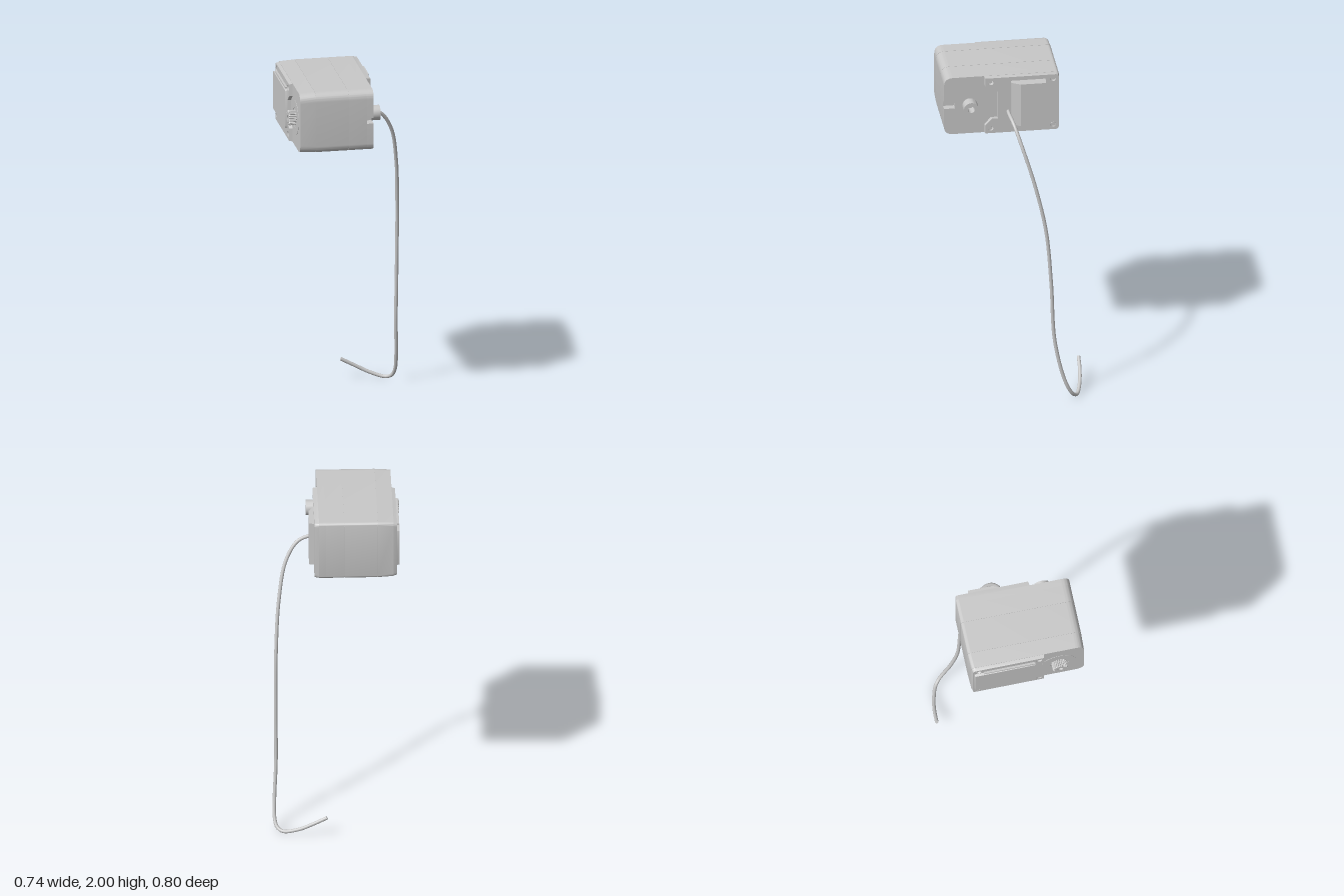
import * as THREE from 'three';
import { toCreasedNormals } from 'three/addons/utils/BufferGeometryUtils.js';

const grey = new THREE.MeshStandardMaterial({ color: 0xc8c8c8 });
grey.name = 'light plastic grey';

// Closed outline from [z, y] pairs; corners may carry a rounding radius as third value
function outline(pts, Type = THREE.Shape) {
  const s = new Type();
  const v = pts.map(p => new THREE.Vector2(-p[0], p[1]));
  const n = v.length;
  v.forEach((c, i) => {
    const r = pts[i][2] || 0;
    const a = c.clone().add(v[(i + n - 1) % n].clone().sub(c).setLength(r));
    const b = c.clone().add(v[(i + 1) % n].clone().sub(c).setLength(r));
    if (i === 0) s.moveTo(a.x, a.y); else s.lineTo(a.x, a.y);
    if (r) s.quadraticCurveTo(c.x, c.y, b.x, b.y);
  });
  s.closePath();
  return s;
}
const rect = (z0, z1, y0, y1, r = 0, Type) =>
  outline([[z0, y0, r], [z0, y1, r], [z1, y1, r], [z1, y0, r]], Type);
function circle(z, y, r, Type = THREE.Shape) {
  const s = new Type();
  s.absarc(-z, y, r, 0, Math.PI * 2, false);
  return s;
}

export function createModel() {
  const group = new THREE.Group();
  const add = (name, geo) => {
    const m = new THREE.Mesh(geo, grey);
    m.name = name;
    group.add(m);
    return m;
  };

  // Slab across x; end = +1 or -1 tapers that side by ky and kz around the slab's middle
  function slab(name, shape, x0, x1, end = 0, ky = 1, kz = ky) {
    const g = new THREE.ExtrudeGeometry(shape, { depth: x1 - x0, bevelEnabled: false, curveSegments: 14 });
    g.rotateY(Math.PI / 2).translate(x0, 0, 0);
    g.computeBoundingBox();
    const c = g.boundingBox.getCenter(new THREE.Vector3());
    const p = g.attributes.position;
    if (end) for (let i = 0; i < p.count; i++) {
      if ((p.getX(i) - c.x) * end < 0) continue;
      p.setY(i, c.y + (p.getY(i) - c.y) * ky);
      p.setZ(i, c.z + (p.getZ(i) - c.z) * kz);
    }
    return add(name, toCreasedNormals(g, 0.55));
  }

  // Case: three shells separated by fine seams over a slightly smaller core
  const caseOutline = (d = 0) => outline([
    [0.398 - d, 1.637 + d, 0.052], [0.398 - d, 2 - d, 0.052],
    [-0.271 + d, 2 - d, 0.02], [-0.271 + d, 1.637 + d, 0.02]]);
  slab('caseCore', caseOutline(0.002), -0.25, -0.03);
  slab('leftShell', caseOutline(), -0.33, -0.239, -1, 0.975, 0.99);
  slab('middleShell', caseOutline(), -0.237, -0.046);
  slab('rightShell', caseOutline(), -0.044, 0.06);

  // Outer slice of the shell carries the locating notch
  slab('notchedFace', outline([
    [0.398, 1.637, 0.052], [0.398, 1.803], [0.335, 1.803], [0.335, 1.837], [0.398, 1.837],
    [0.398, 2, 0.052], [-0.271, 2, 0.02], [-0.271, 1.637, 0.02]]), 0.06, 0.1);

  const screws = [[0.133, 1.97], [0.133, 1.67], [-0.236, 1.97], [-0.236, 1.67]];

  // Raised cover with screw tabs, screw holes and a recess for the cable
  const cover = outline([
    [0.165, 1.638], [0.165, 1.69], [0.125, 1.732], [0.09, 1.732], [0.09, 1.91],
    [0.125, 1.91], [0.165, 1.947], [0.165, 1.999], [-0.27, 1.999, 0.02], [-0.27, 1.638, 0.02]]);
  cover.holes.push(rect(0.08, -0.2, 1.67, 1.978, 0.004, THREE.Path));
  screws.forEach(([z, y]) => cover.holes.push(circle(z, y, 0.016, THREE.Path)));
  slab('rearCover', cover, 0.1, 0.126, 1, 0.982);
  screws.forEach(([z, y]) => slab('coverScrew', circle(z, y, 0.012), 0.1, 0.118));

  // Wedge-ended housing inside the cover recess
  const wedge = new THREE.Shape([[0.1, -0.01], [0.126, -0.01], [0.155, 0.042], [0.155, 0.186], [0.126, 0.192], [0.1, 0.192]]
    .map(p => new THREE.Vector2(...p)));
  const wg = new THREE.ExtrudeGeometry(wedge, { depth: 0.27, bevelEnabled: false });
  wg.rotateX(-Math.PI / 2).translate(0, 1.688, 0);
  add('coverHousing', wg);

  // Idler boss with a centre bore
  const boss = circle(0.248, 1.818, 0.044);
  boss.holes.push(circle(0.248, 1.818, 0.02, THREE.Path));
  slab('idlerBoss', boss, 0.1, 0.162);

  // Output side: base plate with corner pockets, raised panel, rib and screws
  const base = outline([
    [0.162, 1.642], [0.162, 1.72], [0.115, 1.76], [0.115, 1.88], [0.162, 1.92], [0.162, 1.994],
    [-0.268, 1.994, 0.02], [-0.268, 1.642, 0.02]]);
  const pockets = screws.map(([z, y]) => [z, y - Math.sign(y - 1.82) * 0.006]);
  pockets.forEach(([z, y]) => base.holes.push(circle(z, y, 0.018, THREE.Path)));
  slab('outputPlate', base, -0.35, -0.325, -1, 0.97);
  pockets.forEach(([z, y]) => slab('plateScrew', circle(z, y, 0.013), -0.344, -0.325));
  slab('raisedPanel', rect(0.11, -0.255, 1.71, 1.942, 0.008), -0.365, -0.345, -1, 0.98);
  slab('panelRib', rect(0.1, -0.2, 1.947, 1.956), -0.362, -0.345);

  // Output ring and splined shaft
  const ring = circle(0.247, 1.818, 0.1);
  ring.holes.push(circle(0.247, 1.818, 0.06, THREE.Path));
  slab('outputRing', ring, -0.332, -0.32);
  const teeth = 24, spline = [];
  for (let i = 0; i < teeth * 4; i++) {
    const a = i / (teeth * 4) * Math.PI * 2, r = i % 4 < 2 ? 0.044 : 0.039;
    spline.push([0.247 + Math.cos(a) * r, 1.818 + Math.sin(a) * r]);
  }
  const shaft = outline(spline);
  shaft.holes.push(circle(0.247, 1.818, 0.018, THREE.Path));
  slab('splinedShaft', shaft, -0.369, -0.32);
  slab('splineTip', shaft, -0.375, -0.369, -1, 0.92);

  // Trailing cable with a hooked end
  const path = new THREE.CatmullRomCurve3([
    [0.09, 1.762, 0.025], [0.135, 1.76, 0.024], [0.215, 1.733, 0.008], [0.286, 1.62, -0.03],
    [0.327, 1.4, -0.095], [0.345, 1.1, -0.16], [0.348, 0.76, -0.19], [0.347, 0.4, -0.209],
    [0.357, 0.18, -0.252], [0.358, 0.075, -0.29], [0.345, 0.028, -0.32], [0.312, 0.011, -0.346],
    [0.22, 0.037, -0.374], [0.14, 0.077, -0.386], [0.058, 0.12, -0.39]
  ].map(p => new THREE.Vector3(...p)));
  add('cable', new THREE.TubeGeometry(path, 140, 0.0105, 12));
  [0, 1].forEach(t => {
    const cap = add('cableEnd', new THREE.CircleGeometry(0.0105, 12));
    const dir = path.getTangentAt(t).multiplyScalar(t ? 1 : -1);
    cap.position.copy(path.getPointAt(t));
    cap.quaternion.setFromUnitVectors(new THREE.Vector3(0, 0, 1), dir);
  });

  return group;
}
